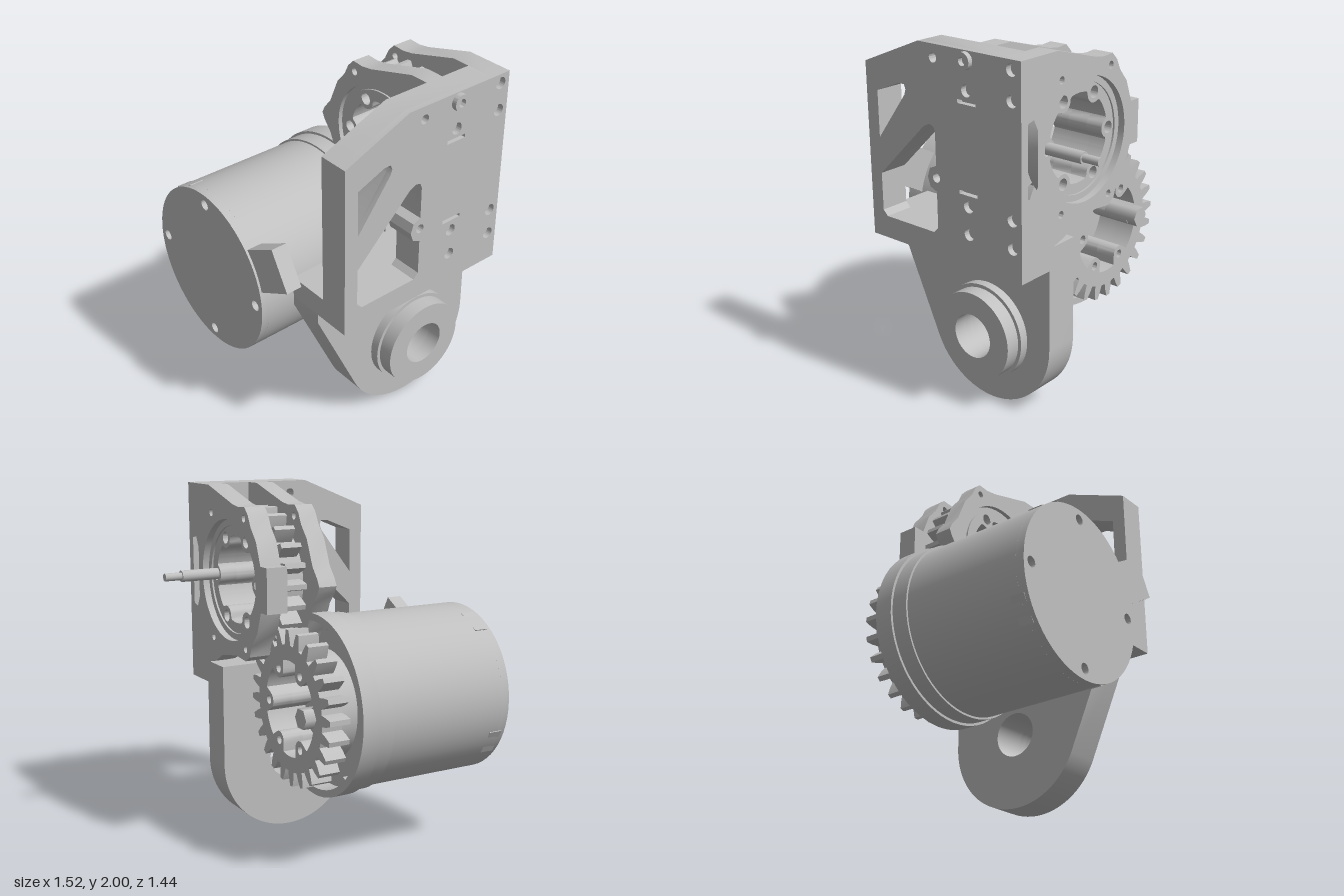
import * as THREE from 'three';
import { toCreasedNormals } from 'three/addons/utils/BufferGeometryUtils.js';

const metal = new THREE.MeshStandardMaterial({ color: 0xc0c0c0 });
metal.name = 'lightGreyMetal';
const TAU = Math.PI * 2;
const MOTOR = { y: 0.855, z: -0.22 };
const RING = { y: 1.5, z: 0.19 };

const poly = (pts, C = THREE.Shape) => new C(pts.map(p => new THREE.Vector2(p[0], p[1])));
const circle = (x, y, r, C = THREE.Path) => {
  const s = new C();
  s.absarc(x, y, r, 0, TAU, false);
  return s;
};

export function createModel() {
  const model = new THREE.Group();

  const add = (name, geo) => {
    const m = new THREE.Mesh(geo, metal);
    m.name = name;
    model.add(m);
    return m;
  };
  // extrude an (x, y) shape between two z values
  const alongZ = (name, shape, z0, z1) => {
    const g = new THREE.ExtrudeGeometry(shape, { depth: z1 - z0, bevelEnabled: false, curveSegments: 32 });
    return add(name, toCreasedNormals(g.translate(0, 0, z0), 0.5));
  };
  // extrude a (-z, y) shape between two x values
  const alongX = (name, shape, x0, x1) => {
    const g = new THREE.ExtrudeGeometry(shape, { depth: x1 - x0, bevelEnabled: false, curveSegments: 32 });
    return add(name, toCreasedNormals(g.rotateY(Math.PI / 2).translate(x0, 0, 0), 0.5));
  };
  const rodX = (name, x0, x1, y, z, r, sides = 24) =>
    add(name, new THREE.CylinderGeometry(r, r, x1 - x0, sides).rotateZ(Math.PI / 2).translate((x0 + x1) / 2, y, z));
  const box = (name, x0, x1, y0, y1, z0, z1) =>
    add(name, new THREE.BoxGeometry(x1 - x0, y1 - y0, z1 - z0).translate((x0 + x1) / 2, (y0 + y1) / 2, (z0 + z1) / 2));
  const ringX = (name, c, outer, inner, x0, x1) => {
    const s = circle(-c.z, c.y, outer, THREE.Shape);
    s.holes.push(circle(-c.z, c.y, inner));
    return alongX(name, s, x0, x1);
  };

  // Mounting plate: thin front layer with blind screw holes, thicker back layer
  const plateShape = (right) => {
    const s = poly([[-0.57, 0.875], [right, 0.875], [right, 2], [-0.18, 2], [-0.57, 1.84]]);
    s.holes.push(
      poly([[-0.49, 1.44], [-0.49, 1.695], [-0.33, 1.76], [-0.29, 1.76], [-0.28, 1.735], [-0.29, 1.705]], THREE.Path),
      poly([[-0.46, 1], [-0.49, 1.03], [-0.49, 1.24], [-0.16, 1.565], [-0.12, 1.585], [-0.09, 1.575], [-0.08, 1.55],
        [-0.08, 1.37], [-0.125, 1.35], [-0.142, 1.3], [-0.125, 1.25], [-0.08, 1.23], [-0.08, 1.03], [-0.11, 1]], THREE.Path),
      circle(-0.08, 1.93, 0.025), circle(-0.08, 1.305, 0.025));
    return s;
  };
  const front = plateShape(0.488);
  for (const [x, y] of [[0.14, 1.8], [0.43, 1.95], [0.43, 1.8], [0.14, 1.2], [0.43, 1.2], [0.14, 1.05], [0.43, 1.05]])
    front.holes.push(circle(x, y, 0.032));
  for (const y of [1.73, 1.26])
    front.holes.push(poly([[0.08, y], [0.2, y], [0.2, y + 0.02], [0.08, y + 0.02]], THREE.Path));
  alongZ('plateFront', front, 0.66, 0.693);
  alongZ('plateBack', plateShape(0.37), 0.525, 0.66);
  box('plateLowerCorner', 0.37, 0.488, 0.875, 1.0, 0.525, 0.66);
  box('shelf', -0.57, 0.488, 0.875, 1.0, 0.28, 0.525);
  const head = circle(0.14, 1.95, 0.045, THREE.Shape);
  head.holes.push(circle(0.14, 1.95, 0.022));
  alongZ('plateScrewHead', head, 0.69, 0.72);

  // Hanging lug with stepped bushing
  const lug = new THREE.Shape();
  lug.moveTo(-0.57, 1);
  lug.lineTo(-0.57, 0.82);
  lug.absarc(0.07, 0.42, 0.42, Math.PI * 1.14, TAU, false);
  lug.lineTo(0.488, 1);
  lug.holes.push(circle(0.07, 0.42, 0.125));
  alongZ('lug', lug, 0.28, 0.48);
  for (const [r, z0, z1] of [[0.27, 0.48, 0.53], [0.25, 0.53, 0.613]]) {
    const s = circle(0.07, 0.42, r, THREE.Shape);
    s.holes.push(circle(0.07, 0.42, 0.125));
    alongZ('bushing', s, z0, z1);
  }

  // Bearing flanges on both sides of the gears
  const flange = (zFront, pad) => {
    const pts = [[zFront, 1], [zFront, 2], [0.42, 2], [0.12, 1.915], [0.05, 1.905], [-0.02, 1.91], [-0.06, 1.87],
      [-0.09, 1.81], [-0.15, 1.74], ...pad, [-0.15, 1.26], [-0.08, 1.18], [-0.06, 1.12], [-0.01, 1.09],
      [0.1, 1.1], [0.2, 1.085], [0.28, 1.07], [0.36, 1.025], [0.45, 1]];
    const s = poly(pts.map(([z, y]) => [-z, y]));
    s.holes.push(circle(-RING.z, RING.y, 0.33));
    for (const [z, y] of [[0.39, 1.85], [-0.01, 1.85], [0.39, 1.155], [-0.01, 1.155]])
      s.holes.push(circle(-z, y, 0.02));
    return s;
  };
  const outer = flange(0.66, [[-0.195, 1.62], [-0.265, 1.62], [-0.265, 1.38], [-0.195, 1.38]]);
  outer.holes.push(poly([[-0.645, 1.31], [-0.645, 1.69], [-0.6, 1.7], [-0.57, 1.64], [-0.57, 1.36], [-0.6, 1.3]], THREE.Path));
  alongX('outerFlange', outer, 0.37, 0.488);
  alongX('innerFlange', flange(0.54, [[-0.21, 1.6], [-0.26, 1.54], [-0.28, 1.5], [-0.26, 1.46], [-0.21, 1.4]]), 0.085, 0.19);
  for (const [x0, x1] of [[0.11, 0.19], [0.37, 0.45]]) ringX('bearing', RING, 0.335, 0.295, x0, x1);

  // Gears: round bore with six bolt lugs reaching inwards
  const lugged = (s, c) => {
    const pts = [];
    for (let i = 0; i < 144; i++) {
      const a = i / 144 * TAU;
      const b = (a + Math.PI / 6) % (Math.PI / 3) - Math.PI / 6;
      const d = c.lugR ** 2 - (c.boltR * Math.sin(b)) ** 2;
      const r = d > 0 ? Math.min(c.bore, c.boltR * Math.cos(b) - Math.sqrt(d)) : c.bore;
      pts.push([-c.z + r * Math.cos(a), c.y + r * Math.sin(a)]);
    }
    s.holes.push(poly(pts, THREE.Path));
    for (let i = 0; i < 6; i++) {
      const a = i / 6 * TAU;
      s.holes.push(circle(-c.z + c.boltR * Math.cos(a), c.y + c.boltR * Math.sin(a), c.holeR));
    }
    return s;
  };
  const drive = { ...MOTOR, bore: 0.262, boltR: 0.23, lugR: 0.05, holeR: 0.024 };
  const driven = { ...RING, bore: 0.238, boltR: 0.25, lugR: 0.056, holeR: 0.033 };
  const gear = (name, c, teeth, tip, root, phase) => {
    const pts = [];
    for (let i = 0; i < teeth; i++)
      for (const [f, r] of [[-0.33, root], [-0.24, (tip + root) / 2], [-0.12, tip], [0.12, tip], [0.24, (tip + root) / 2], [0.33, root]]) {
        const a = phase + (i + f) / teeth * TAU;
        pts.push([-c.z + r * Math.cos(a), c.y + r * Math.sin(a)]);
      }
    alongX(name, lugged(poly(pts), c), 0.22, 0.34);
  };
  const hub = (name, c, r, x0, x1) => alongX(name, lugged(circle(-c.z, c.y, r, THREE.Shape), c), x0, x1);
  const mesh = Math.atan2(RING.y - MOTOR.y, MOTOR.z - RING.z);
  gear('driveGear', drive, 24, 0.425, 0.345, mesh);
  gear('drivenGear', driven, 22, 0.395, 0.315, mesh + Math.PI + Math.PI / 22);
  hub('driveHub', drive, 0.3, 0.1, 0.22);
  hub('drivenHubInner', driven, 0.3, 0.1, 0.22);
  hub('drivenHubOuter', driven, 0.3, 0.34, 0.44);
  rodX('driveCentre', 0.08, 0.14, MOTOR.y, MOTOR.z, 0.06);
  rodX('driveBolt', 0.19, 0.4, 0.863, -0.45, 0.058, 6);

  // Output shaft through the driven gear
  rodX('shaftHead', 0.015, 0.1, 1.505, 0.43, 0.057);
  rodX('shaft', 0.1, 0.66, 1.505, 0.43, 0.032);
  rodX('shaftTip', 0.66, 0.757, 1.505, 0.43, 0.022);

  // Motor housing, end cap with screw holes, flange rings
  rodX('motorBody', -0.71, -0.01, MOTOR.y, MOTOR.z, 0.475, 72);
  const cap = circle(-MOTOR.z, MOTOR.y, 0.475, THREE.Shape);
  for (let i = 0; i < 4; i++) {
    const a = i / 4 * TAU;
    cap.holes.push(circle(-MOTOR.z + 0.415 * Math.cos(a), MOTOR.y + 0.415 * Math.sin(a), 0.03));
  }
  alongX('motorEndCap', cap, -0.758, -0.71);
  rodX('motorFlange', -0.01, 0.085, MOTOR.y, MOTOR.z, 0.486, 72);
  ringX('motorRim', MOTOR, 0.5, 0.46, 0.085, 0.19);
  for (let i = 0; i < 12; i++) {
    const a = (i + 0.05) / 12 * TAU;
    rodX('rimScrew', 0.085, 0.13, MOTOR.y + 0.432 * Math.sin(a), MOTOR.z + 0.432 * Math.cos(a), 0.025, 12);
  }

  // Slanted terminal block, and flat pads at the other quarters of the housing
  alongX('terminalBlock', poly([[-0.46, 1.085], [-0.345, 1.29], [-0.08, 1.142], [-0.195, 0.937]].reverse()), -0.745, -0.655);
  for (let i = 1; i < 4; i++) {
    const pad = new THREE.BoxGeometry(0.08, 0.15, 0.009).translate(-0.695, 0, 0.469);
    add('motorPad', pad.rotateX(-0.51 - i * Math.PI / 2).translate(0, MOTOR.y, MOTOR.z));
  }

  return model;
}
